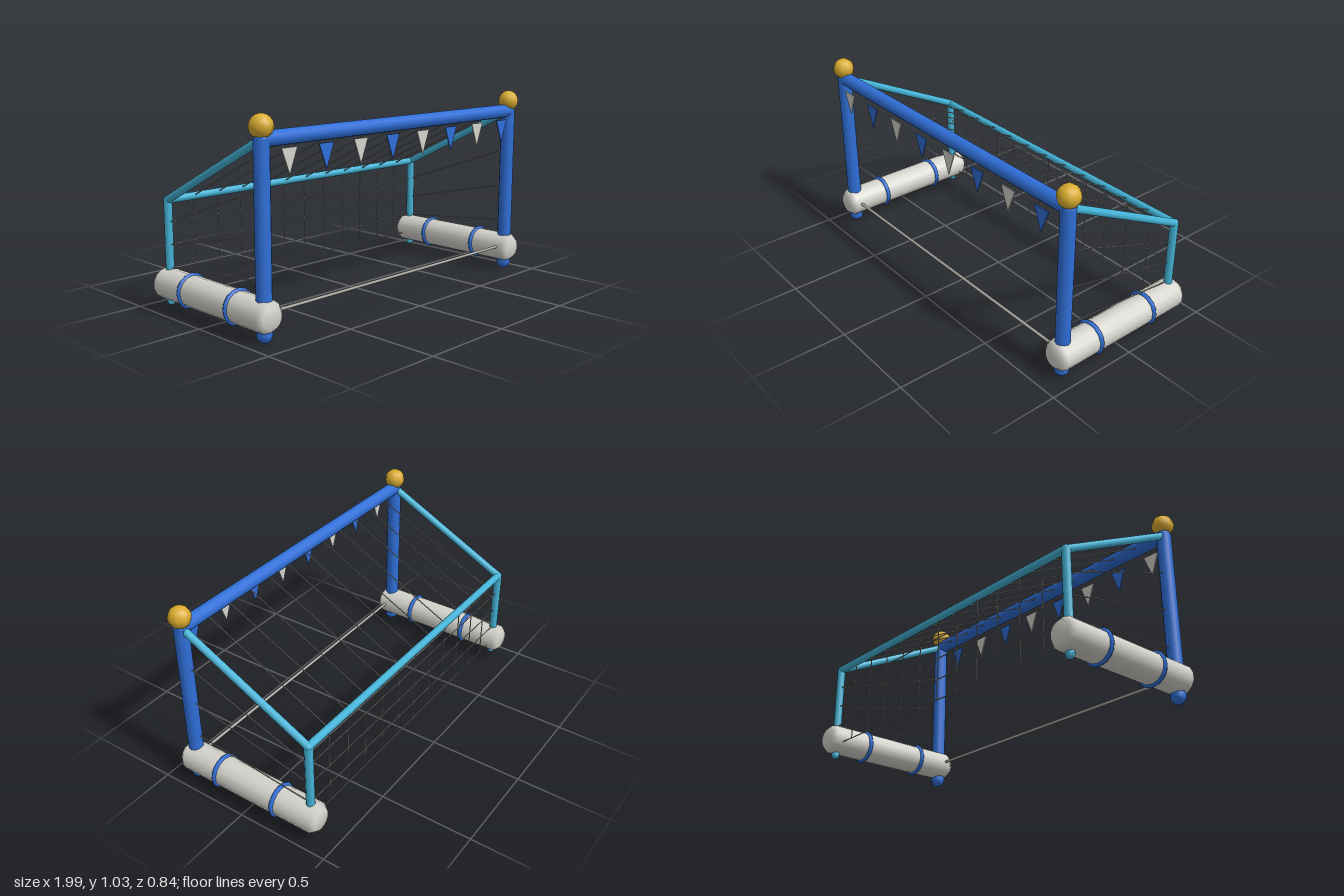
import * as THREE from 'three';

const material = (name, color) => new THREE.MeshStandardMaterial({ name, color });

export function createModel() {
  const goal = new THREE.Group();
  goal.name = 'floatingGoal';
  const blue = material('blue', 0x2f6fd8);
  const cyan = material('cyan', 0x45b4d8);
  const gold = material('gold', 0xd9ab2e);
  const white = material('offWhite', 0xd4d3cc);
  const cord = material('cordGrey', 0xa9a8a2);

  const add = (name, geometry, mat, x = 0, y = 0, z = 0) => {
    const mesh = new THREE.Mesh(geometry, mat);
    mesh.name = name;
    mesh.position.set(x, y, z);
    goal.add(mesh);
    return mesh;
  };
  // Straight tube between two points
  const rod = (name, a, b, radius, mat, sides = 12) => {
    const from = new THREE.Vector3(...a), to = new THREE.Vector3(...b);
    const dir = to.clone().sub(from);
    const mesh = add(name, new THREE.CylinderGeometry(radius, radius, dir.length(), sides), mat);
    mesh.position.copy(from).add(to).multiplyScalar(0.5);
    mesh.quaternion.setFromUnitVectors(new THREE.Vector3(0, 1, 0), dir.normalize());
    return mesh;
  };

  const X = 0.905, ZF = 0.363, ZB = -0.36, topY = 0.92, backY = 0.557;
  const postR = 0.038, railR = 0.022;

  // Float profile: cylinder with bevelled ends
  const floatProfile = [[0, -0.42], [0.055, -0.42], [0.079, -0.392],
    [0.079, 0.392], [0.055, 0.42], [0, 0.42]].map(p => new THREE.Vector2(...p));

  for (const s of [-1, 1]) {
    const x = s * X;
    const side = s > 0 ? 'left' : 'right';
    // Floats and their straps
    const float = add(side + 'Float', new THREE.LatheGeometry(floatProfile, 14), white, x, 0.131, 0);
    float.rotation.x = Math.PI / 2;
    for (const z of [-0.18, 0.18])
      add(side + 'FloatStrap', new THREE.TorusGeometry(0.079, 0.012, 6, 16), blue, x, 0.131, z);

    // Front post, rounded foot, corner joint and finial
    rod(side + 'FrontPost', [x, 0.042, ZF], [x, topY, ZF], postR, blue);
    add(side + 'FrontFoot', new THREE.SphereGeometry(0.039, 10, 6), blue, x, 0.042, ZF);
    add(side + 'FrontJoint', new THREE.SphereGeometry(postR, 10, 6), blue, x, topY, ZF);
    add(side + 'Finial', new THREE.SphereGeometry(0.057, 10, 8), gold, x, 0.977, ZF);

    // Back post, foot, joint and sloping rail
    rod(side + 'BackPost', [x, 0.042, ZB], [x, backY, ZB], railR, cyan, 10);
    add(side + 'BackFoot', new THREE.SphereGeometry(railR, 8, 4), cyan, x, 0.042, ZB);
    add(side + 'BackJoint', new THREE.SphereGeometry(railR, 8, 4), cyan, x, backY, ZB);
    rod(side + 'SlopingRail', [x, topY, ZF], [x, backY, ZB], 0.02, cyan, 10);

    // Side net cords
    for (const [front, back] of [[0.704, 0.443], [0.497, 0.329], [0.287, 0.214]])
      rod(side + 'NetCord', [x, front, ZF], [x, back, ZB], 0.003, cord, 5);
  }

  // Cross members
  rod('crossbar', [-X, topY, ZF], [X, topY, ZF], 0.037, blue);
  rod('backBar', [-X, backY, ZB], [X, backY, ZB], 0.02, cyan, 10);
  rod('frontSpacer', [-X, 0.14, ZF], [X, 0.14, ZF], 0.008, cord, 8);

  // Roof cords running on down the back
  for (let i = -5; i <= 5; i++) {
    const x = i * 0.15;
    rod('roofNetCord', [x, topY, ZF], [x, backY, ZB], 0.003, cord, 5);
    rod('backNetCord', [x, backY, ZB], [x, 0.105, ZB], 0.003, cord, 5);
  }
  for (const y of [0.443, 0.329, 0.214, 0.105])
    rod('backNetRow', [-X, y, ZB], [X, y, ZB], 0.003, cord, 5);

  // Triangular pennants under the crossbar
  const flag = new THREE.Shape([[-0.046, 0.878], [0, 0.758], [0.046, 0.878]]
    .map(p => new THREE.Vector2(...p)));
  const flagGeometry = new THREE.ExtrudeGeometry(flag, { depth: 0.006, bevelEnabled: false });
  for (let i = 0; i < 8; i++)
    add('pennant', flagGeometry, i % 2 ? blue : white, (i - 3.5) * 0.224, 0, 0.403);

  return goal;
}
